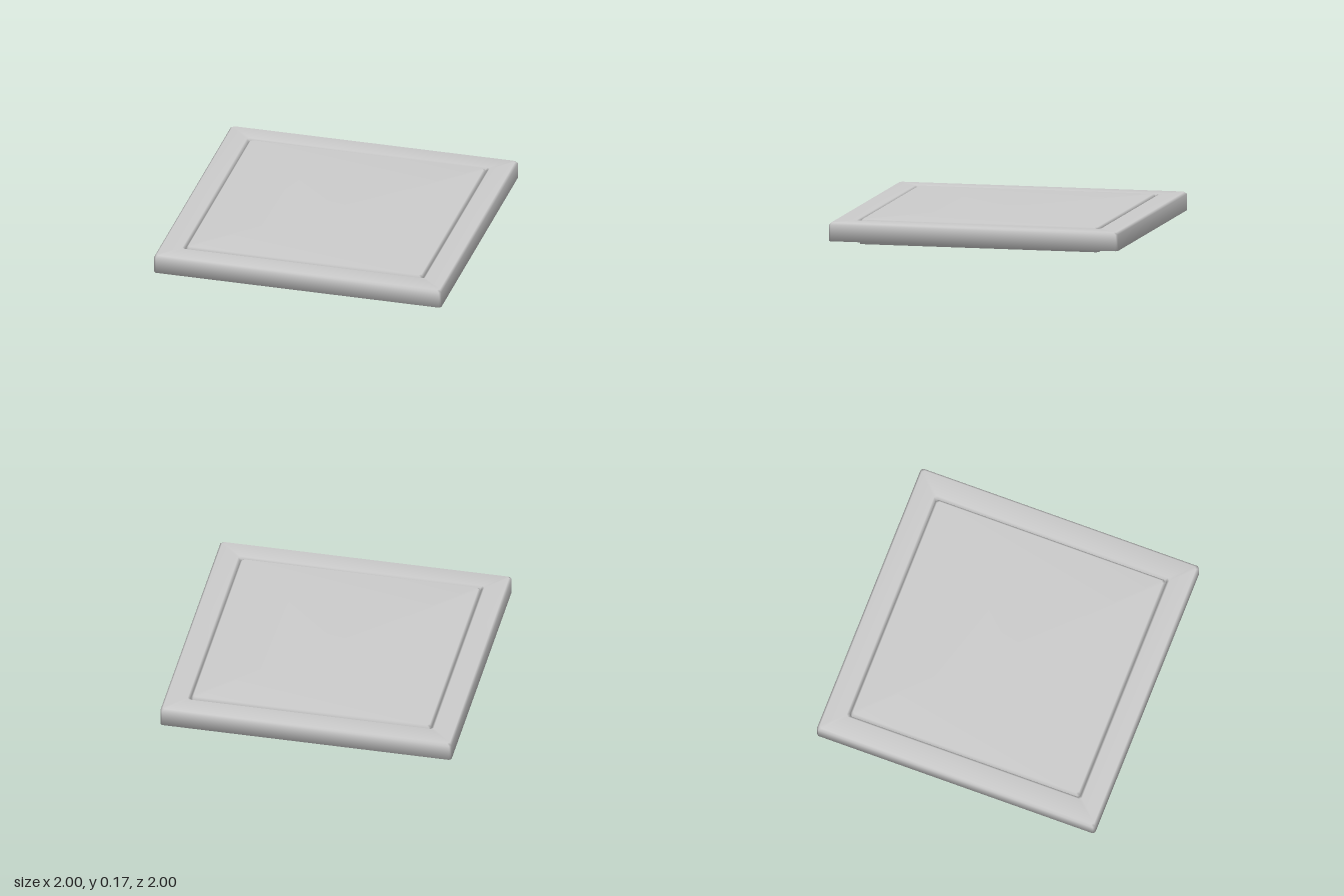
import * as THREE from 'three';
import { mergeVertices } from 'three/addons/utils/BufferGeometryUtils.js';

const material = new THREE.MeshStandardMaterial({ color: 0xcccccc });
const CHAMFER = 0.015;

// Sweeps a [half width, height] profile around a square with clipped corners
function squareSweep(name, profile) {
  const points = profile.map(([half, y]) => new THREE.Vector2(half, y));
  const lathe = new THREE.LatheGeometry(points, 8, Math.PI / 8);
  const position = lathe.attributes.position;
  for (let i = 0; i < position.count; i++) {
    const x = position.getX(i);
    const z = position.getZ(i);
    const half = profile[i % profile.length][0];
    const short = Math.max(half - CHAMFER, 0);
    const wide = Math.abs(x) > Math.abs(z);
    position.setX(i, Math.sign(x) * (wide ? half : short));
    position.setZ(i, Math.sign(z) * (wide ? short : half));
  }
  // Weld the seam and the centre so the shading is smooth all over
  lathe.deleteAttribute('normal');
  lathe.deleteAttribute('uv');
  const geometry = mergeVertices(lathe);
  geometry.computeVertexNormals();
  const mesh = new THREE.Mesh(geometry, material);
  mesh.name = name;
  return mesh;
}

export function createModel() {
  const group = new THREE.Group();
  group.name = 'framedPanel';

  // Border with a softened outer edge
  group.add(squareSweep('frame', [
    [0.83, 0.038], [1, 0.038], [1, 0.148], [0.985, 0.163],
    [0.845, 0.163], [0.83, 0.15], [0.83, 0.038],
  ]));

  // Closed flat panel, set through the frame and standing just proud of it
  group.add(squareSweep('panel', [
    [0, 0], [0.825, 0], [0.825, 0.153], [0.811, 0.167], [0.4, 0.168], [0, 0.168],
  ]));

  return group;
}
